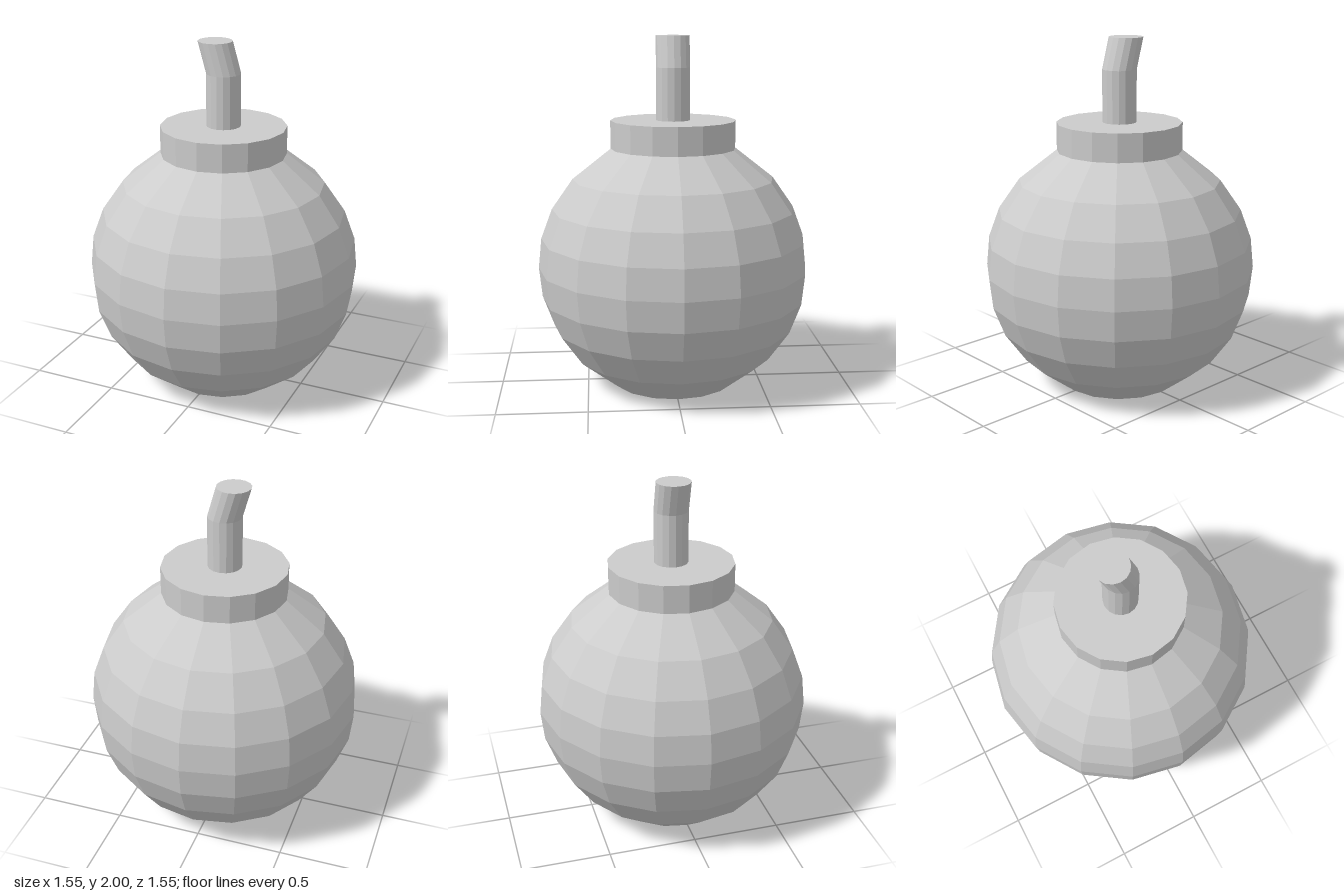
import * as THREE from 'three';

const SIDES = 16;

export function createModel() {
  const group = new THREE.Group();
  const material = new THREE.MeshStandardMaterial({ color: 0xcccccc, flatShading: true });

  function add(name, geometry, y = 0) {
    const mesh = new THREE.Mesh(geometry, material);
    mesh.name = name;
    mesh.position.y = y;
    group.add(mesh);
  }

  // Faceted round body with a flat base, symmetric about its equator
  const radii = [0.355, 0.573, 0.693, 0.757, 0.775, 0.757, 0.693, 0.573, 0.355];
  const height = 1.37;
  const profile = radii.map((r, i) => new THREE.Vector2(r, (i / 8) * height));
  profile.unshift(new THREE.Vector2(0, 0));
  add('body', new THREE.LatheGeometry(profile, SIDES));

  // Collar around the opening
  add('collar', new THREE.CylinderGeometry(0.355, 0.355, 0.16, SIDES), height + 0.08);

  // Fuse: straight stem whose upper section leans to the side
  const fuse = new THREE.CylinderGeometry(0.096, 0.096, 1, SIDES, 2);
  const p = fuse.attributes.position;
  for (let i = 0; i < p.count; i++) {
    const y = p.getY(i);
    if (y > 0.25) p.setXYZ(i, p.getX(i) - 0.05, 2, p.getZ(i));
    else p.setY(i, y < -0.25 ? 1.53 : 1.825);
  }
  add('fuse', fuse);

  return group;
}
